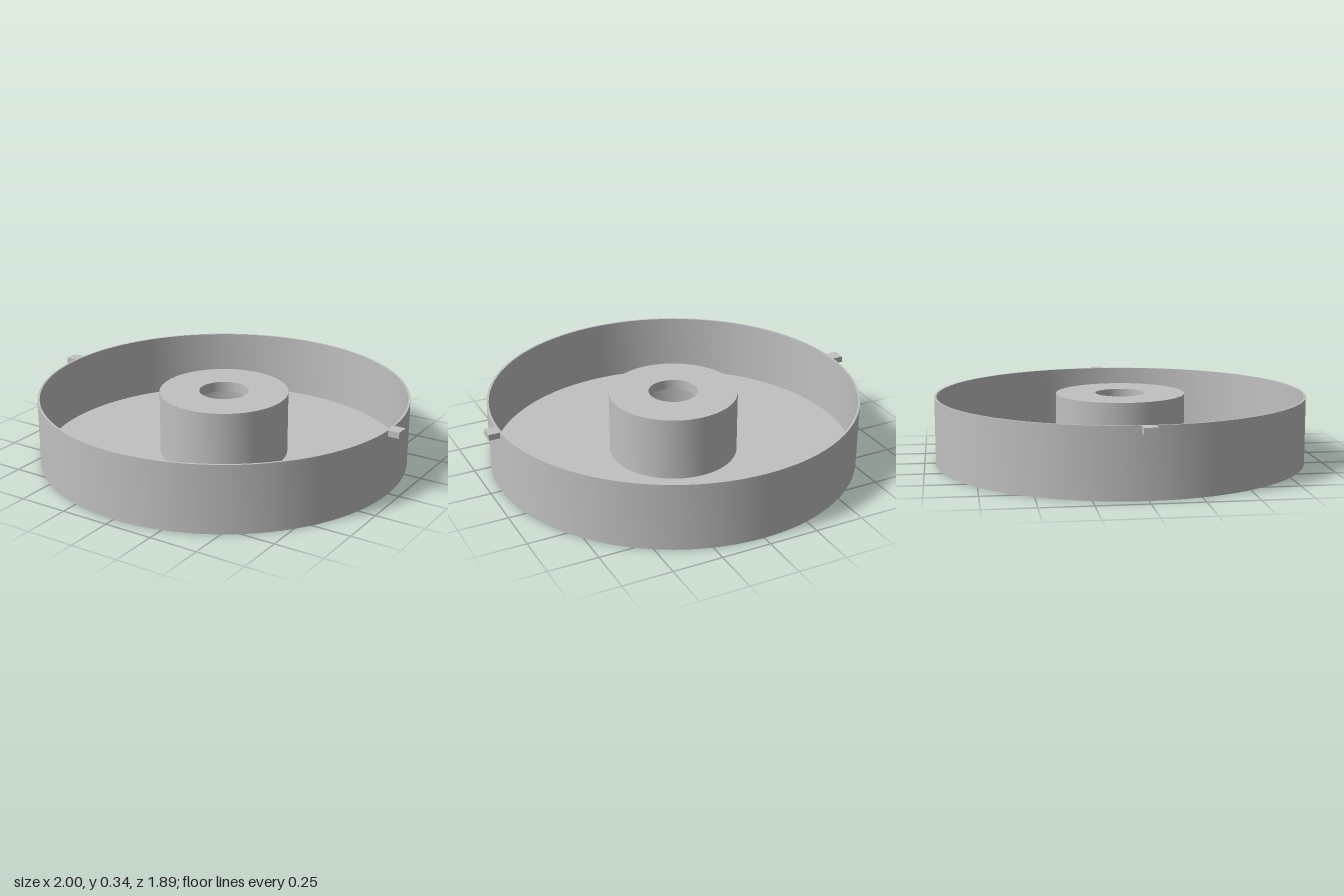
import * as THREE from 'three';
import { toCreasedNormals } from 'three/addons/utils/BufferGeometryUtils.js';

const HEIGHT = 0.342;
const FLOOR = 0.016;
const OUTER = 0.944;
const HUB_OUTER = 0.329;
const HUB_INNER = 0.274;

// Revolve a [radius, y] profile, keeping its corners sharp
function turned(name, profile, material) {
  const points = profile.map(([r, y]) => new THREE.Vector2(r, y));
  const geometry = toCreasedNormals(new THREE.LatheGeometry(points, 96), 0.6);
  const mesh = new THREE.Mesh(geometry, material);
  mesh.name = name;
  return mesh;
}

export function createModel() {
  const model = new THREE.Group();
  model.name = 'roundTray';
  const grey = new THREE.MeshStandardMaterial({ color: 0xc0c0c0 });
  grey.name = 'plain grey';

  // Shallow pan: underside, outer wall, thin rim, inner wall, floor
  model.add(turned('pan', [
    [HUB_INNER, 0], [OUTER, 0], [OUTER, HEIGHT],
    [0.933, HEIGHT], [0.933, FLOOR], [HUB_OUTER, FLOOR],
  ], grey));

  // Hollow hub, open below, with a smaller hole through its top
  model.add(turned('hub', [
    [HUB_OUTER, FLOOR], [HUB_OUTER, HEIGHT], [0.126, HEIGHT],
    [0.126, 0.29], [HUB_INNER, 0.29], [HUB_INNER, 0],
  ], grey));

  // Small tabs on either side of the rim
  for (const side of [-1, 1]) {
    const tab = new THREE.Mesh(new THREE.BoxGeometry(0.06, 0.031, 0.068), grey);
    tab.name = side > 0 ? 'leftTab' : 'rightTab';
    tab.position.set(side * 0.97, HEIGHT - 0.0155, 0);
    model.add(tab);
  }
  return model;
}
